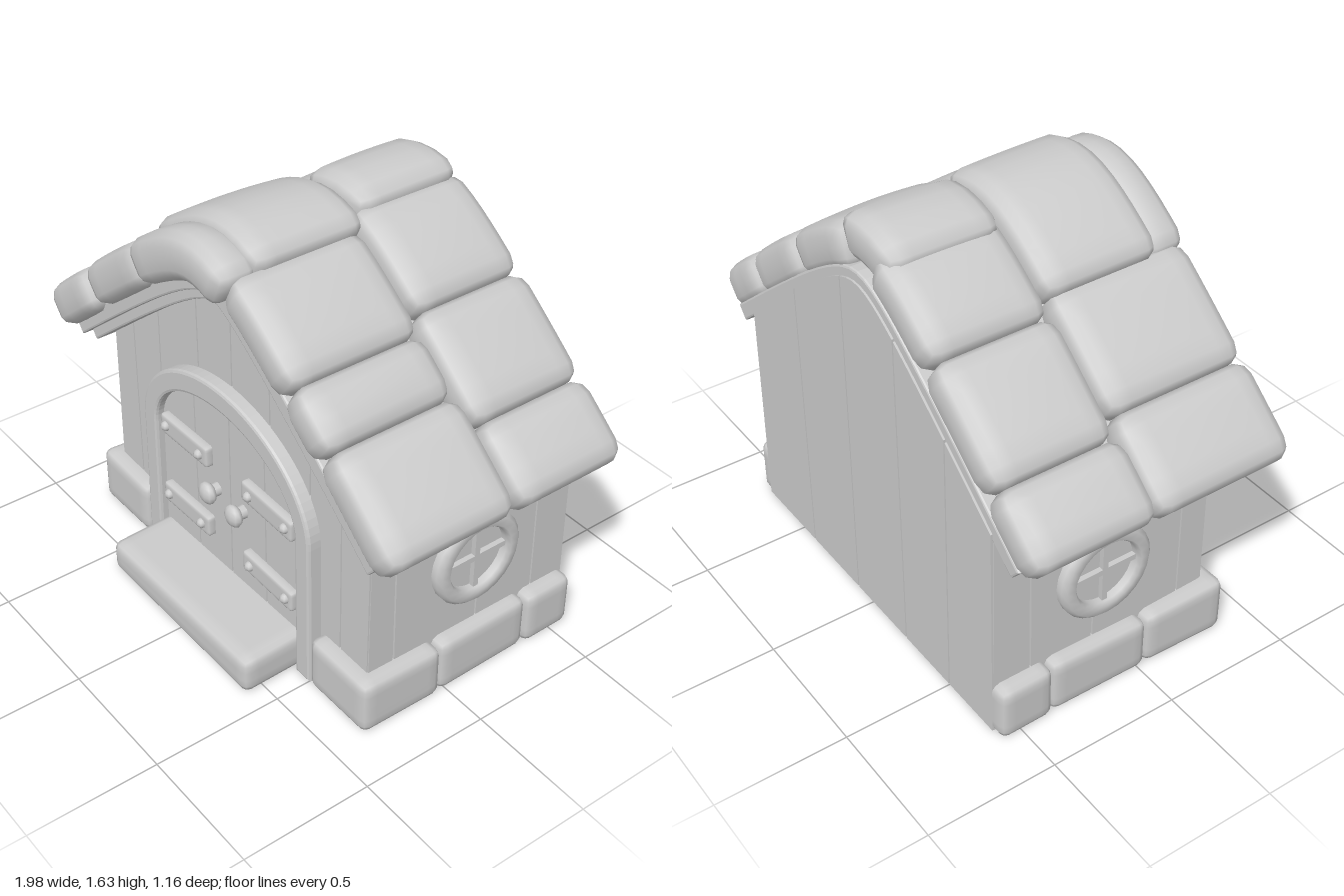
import * as THREE from 'three';
import { mergeVertices } from 'three/addons/utils/BufferGeometryUtils.js';

const material = new THREE.MeshStandardMaterial({ color: 0xcccccc, side: THREE.DoubleSide });

function add(parent, name, geometry, x = 0, y = 0, z = 0) {
  const mesh = new THREE.Mesh(geometry, material);
  mesh.name = name;
  mesh.position.set(x, y, z);
  parent.add(mesh);
  return mesh;
}

let seed = 7;
const jitter = (amount) => {
  seed = (seed * 16807) % 2147483647;
  return (seed / 2147483647 - 0.5) * 2 * amount;
};

// Roof curve: straight slopes meeting in a rounded ridge
const PEAK = 1.5, SLOPE = 0.85, ROUND = 0.2;
const roofY = (x) => PEAK - SLOPE * (Math.hypot(x, ROUND) - ROUND);
const roofLean = (x) => (SLOPE * x) / Math.hypot(x, ROUND);
function roofPoint(x, offset) {
  const lean = roofLean(x), len = Math.hypot(lean, 1);
  return [x + (offset * lean) / len, roofY(x) + offset / len];
}
const underRoof = (x) => roofY(x) - 0.1 * Math.hypot(1, roofLean(x));

// Soft-edged block; every vertex can be moved by a rule afterwards
function softBlock(w, h, d, r, rule) {
  const seg = (size) => Math.max(4, Math.ceil(size / r));
  let g = new THREE.BoxGeometry(w, h, d, seg(w), seg(h), seg(d));
  g.deleteAttribute('uv');
  g.deleteAttribute('normal');
  g = mergeVertices(g, 1e-4);
  const half = new THREE.Vector3(w / 2 - r, h / 2 - r, d / 2 - r);
  const low = half.clone().negate();
  const p = new THREE.Vector3(), inner = new THREE.Vector3();
  const pos = g.attributes.position;
  for (let i = 0; i < pos.count; i++) {
    p.fromBufferAttribute(pos, i);
    inner.copy(p).clamp(low, half);
    p.sub(inner).normalize().multiplyScalar(r).add(inner);
    if (rule) rule(p);
    pos.setXYZ(i, p.x, p.y, p.z);
  }
  g.computeVertexNormals();
  return g;
}

// Slightly irregular stone given by its bounds
function stone(parent, name, x0, x1, h, z0, z1) {
  const a = jitter(0.06), b = jitter(0.06);
  const g = softBlock(x1 - x0, h, z1 - z0, 0.03, (p) => {
    p.y += (p.y > 0 ? 1 : 0) * (a * p.x + b * p.z) * 0.7;
    p.x += a * p.z * 0.5;
  });
  add(parent, name, g, (x0 + x1) / 2, h / 2, (z0 + z1) / 2);
}

// Roof tile bent along the roof curve
function tile(parent, name, x0, x1, z0, z1, lift = 0) {
  const tilt = jitter(0.05), skew = jitter(0.06), w = x1 - x0, d = z1 - z0;
  const g = softBlock(w, 0.16, d, 0.05, (p) => {
    const bulge = 1 + 0.14 * (1 - (2 * p.x / w) ** 2) * (1 - (2 * p.z / d) ** 2);
    const along = (x0 + x1) / 2 + p.x + skew * p.z * (1 - Math.abs(2 * p.x / w));
    const q = roofPoint(along, p.y * bulge + lift + tilt * p.z * 0.5);
    p.set(q[0], q[1], p.z + (z0 + z1) / 2);
  });
  add(parent, name, g);
}

const outline = (points) => new THREE.Shape(points.map((p) => new THREE.Vector2(...p)));

function extrude(shape, depth, bevel = 0) {
  return new THREE.ExtrudeGeometry(shape, {
    depth: depth - 2 * bevel, bevelEnabled: bevel > 0, bevelSize: bevel,
    bevelThickness: bevel, bevelOffset: -bevel, bevelSegments: 2, curveSegments: 20,
  }).translate(0, 0, bevel);
}

function wallOutline(x0, x1, bottom, topFn, gapLow = 0, gapHigh = 0) {
  const pts = [[x0 + gapLow, bottom], [x1 - gapLow, bottom]];
  for (let i = 0; i <= 8; i++) {
    const x = x1 - gapHigh + ((x0 - x1 + 2 * gapHigh) * i) / 8;
    pts.push([x, topFn(x)]);
  }
  return outline(pts);
}

// Row of planks with tapering cracks between them
function planks(parent, name, edges, bottom, topFn, z, depth) {
  for (let i = 0; i < edges.length - 1; i++) {
    const wide = i % 2;
    const shape = wallOutline(edges[i], edges[i + 1], bottom, topFn, wide ? 0.006 : 0.001, wide ? 0.001 : 0.006);
    add(parent, name, extrude(shape, depth), 0, 0, z);
  }
}

// Band that follows the roof curve between two offsets
function roofBand(end, high, low, depth) {
  const top = [], under = [];
  for (let i = 0; i <= 32; i++) {
    const x = -end + (2 * end * i) / 32;
    top.unshift(roofPoint(x, high));
    under.push(roofPoint(x, low));
  }
  return extrude(outline([...under, ...top]), depth, 0.008);
}

export function createModel() {
  const house = new THREE.Group();
  house.name = 'cottage';

  // Walls
  add(house, 'wallCore', extrude(wallOutline(-0.745, 0.745, 0, underRoof), 0.855), 0, 0, -0.565);
  planks(house, 'frontPlank', [-0.76, -0.62, -0.45, -0.2, 0, 0.22, 0.44, 0.61, 0.76], 0, underRoof, 0.29, 0.022);
  planks(house, 'backPlank', [-0.76, -0.5, -0.22, 0.1, 0.42, 0.76], 0, underRoof, -0.583, 0.018);
  for (const s of [-1, 1]) {
    const side = new THREE.Group();
    side.name = s > 0 ? 'leftWall' : 'rightWall';
    side.rotation.y = (s * Math.PI) / 2;
    const edges = [-0.31, -0.2, 0.17, 0.43, 0.58].map((e) => e * s);
    if (s < 0) edges.reverse();
    planks(side, 'sidePlank', edges, 0, () => 0.87, 0.742, 0.018);

    // Round window
    const win = new THREE.Group();
    win.name = 'roundWindow';
    win.position.set(0.14 * s, 0.51, 0.755);
    const profile = [[0.128, 0], [0.128, 0.035], [0.138, 0.048], [0.17, 0.045], [0.186, 0.03], [0.186, 0]];
    const ring = new THREE.LatheGeometry(profile.map((p) => new THREE.Vector2(...p)), 24).rotateX(Math.PI / 2);
    add(win, 'windowFrame', ring);
    add(win, 'windowPane', new THREE.CircleGeometry(0.13, 24), 0, 0, 0.008);
    add(win, 'windowBarUpright', new THREE.BoxGeometry(0.022, 0.26, 0.025), 0, 0, 0.015);
    add(win, 'windowBarLevel', new THREE.BoxGeometry(0.26, 0.022, 0.025), 0, 0, 0.015);
    side.add(win);
    house.add(side);

    // Foundation stones
    const span = (a, b) => (s > 0 ? [a, b] : [-b, -a]);
    const rows = [[0.51, 0.82, 0.03, 0.37], [0.68, 0.815, -0.37, 0.03], [0.68, 0.82, -0.583, -0.37]];
    for (const [a, b, z0, z1] of rows) stone(house, 'foundationStone', ...span(a, b), 0.215, z0, z1);
  }

  // Doorway arch and door boards
  const arch = new THREE.Shape();
  arch.moveTo(0.505, 0);
  arch.lineTo(0.5, 0.6);
  arch.absellipse(0, 0.6, 0.5, 0.37, 0, Math.PI, false);
  arch.lineTo(-0.505, 0);
  arch.lineTo(-0.425, 0);
  arch.lineTo(-0.42, 0.6);
  arch.absellipse(0, 0.6, 0.42, 0.28, Math.PI, 0, true);
  arch.lineTo(0.425, 0);
  add(house, 'doorFrame', extrude(arch, 0.085, 0.012), 0, 0, 0.28);
  const archTop = (x) => 0.6 + 0.285 * Math.sqrt(Math.max(0, 1 - (x / 0.43) ** 2));
  planks(house, 'doorBoard', [-0.43, -0.21, 0, 0.21, 0.43], 0.02, archTop, 0.3, 0.03);

  // Hinges, bolts and knobs
  for (const s of [-1, 1]) {
    for (const y of [0.292, 0.61]) {
      add(house, 'hinge', softBlock(0.29, 0.085, 0.04, 0.01), 0.25 * s, y, 0.34).rotation.z = -0.02 * s;
      for (const x of [0.15, 0.36]) {
        add(house, 'bolt', new THREE.SphereGeometry(0.02, 8, 6), x * s, y, 0.36);
      }
    }
    add(house, 'knobStem', new THREE.CylinderGeometry(0.022, 0.028, 0.06, 8).rotateX(Math.PI / 2), 0.08 * s, 0.485, 0.35);
    add(house, 'knob', new THREE.SphereGeometry(0.044, 10, 8).scale(1, 1, 0.6), 0.08 * s, 0.485, 0.375);
  }

  // Doorstep
  stone(house, 'doorstep', -0.435, 0.42, 0.14, 0.28, 0.58);

  // Roof boards
  add(house, 'roofBoard', roofBand(0.93, -0.06, -0.125, 0.975), 0, 0, -0.575);
  add(house, 'gableTrim', roofBand(0.9, -0.11, -0.165, 0.09), 0, 0, 0.285);

  // Front row of tiles
  const front = [
    [-0.96, -0.69, 0.46], [-0.69, -0.34, 0.455], [0.13, 0.46, 0.43], [0.46, 0.64, 0.43], [0.64, 0.96, 0.42],
  ];
  for (const [a, b, z] of front) tile(house, 'frontTile', a, b, -0.1, z);
  tile(house, 'frontRidgeTile', -0.36, 0.15, -0.12, 0.34, 0.035);
  tile(house, 'ridgeLip', -0.36, 0.15, 0.3, 0.47, 0.005);

  // Back row of tiles
  const back = [[-0.96, -0.74], [-0.74, -0.4], [-0.4, -0.08], [0.07, 0.41], [0.41, 0.73], [0.73, 0.96]];
  for (const [a, b] of back) tile(house, 'backTile', a, b, -0.58, -0.11 + jitter(0.012));
  tile(house, 'backRidgeTile', -0.15, 0.1, -0.565, -0.13, 0.035);

  return house;
}
